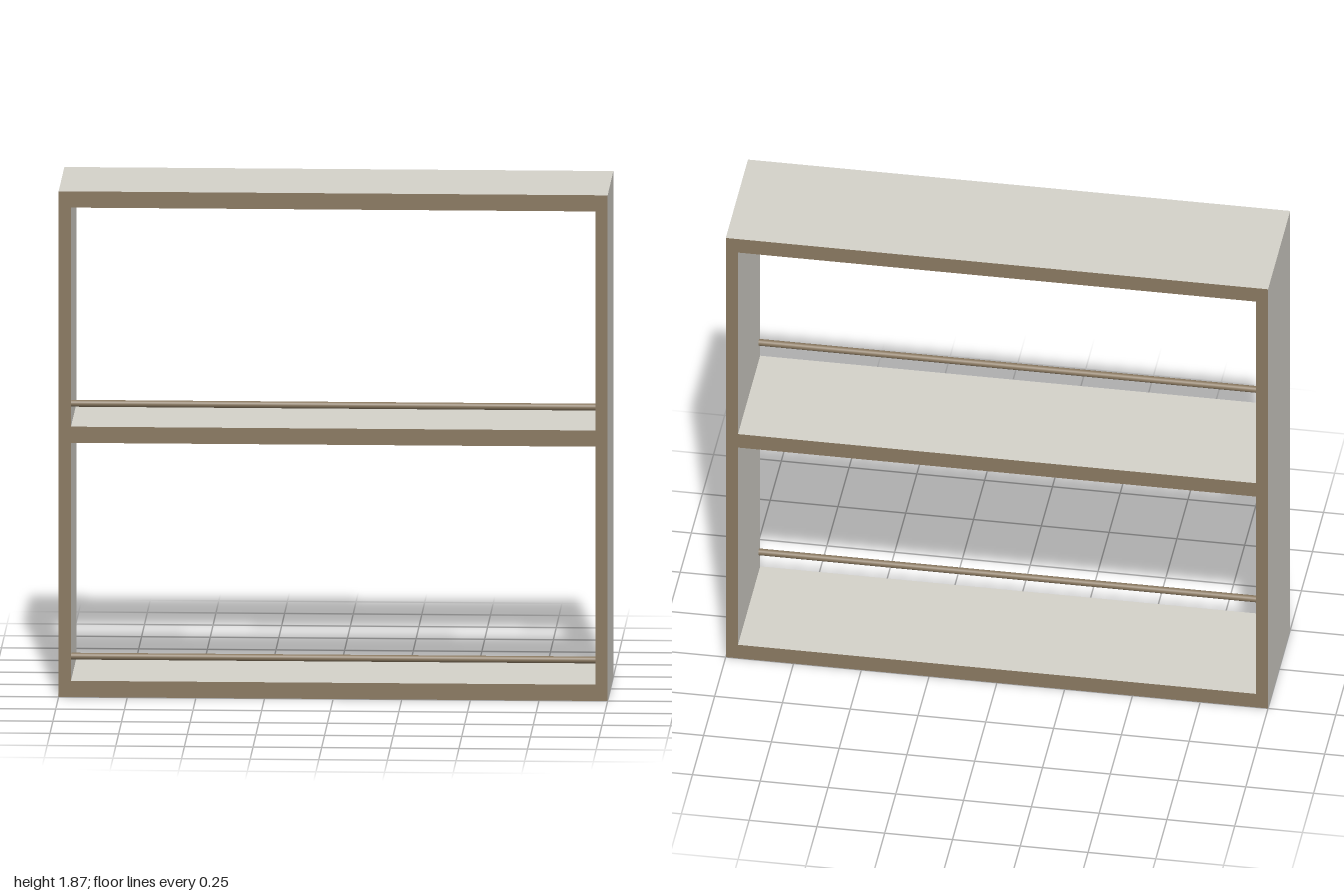
import * as THREE from 'three';

const W = 2, H = 1.87, D = 0.5; // overall size
const SIDE = 0.045;             // side panel thickness
const inner = W / 2 - SIDE;

// Rectangle outline added to a Shape or Path
function rect(path, x0, y0, x1, y1) {
  path.moveTo(x0, y0);
  path.lineTo(x1, y0);
  path.lineTo(x1, y1);
  path.lineTo(x0, y1);
  path.closePath();
  return path;
}

export function createModel() {
  const laminate = new THREE.MeshStandardMaterial({ name: 'pale grey laminate', color: 0xd2d0c8 });
  const wood = new THREE.MeshStandardMaterial({ name: 'brown wood', color: 0x88775f });

  const group = new THREE.Group();
  group.name = 'shelfUnit';

  // Carcass with two open bays: brown front and back edges, grey panel faces
  const outline = rect(new THREE.Shape(), -W / 2, 0, W / 2, H);
  for (const [bottom, top] of [[0.06, 0.94], [1.0, 1.81]]) {
    outline.holes.push(rect(new THREE.Path(), -inner, bottom, inner, top));
  }
  const carcassGeo = new THREE.ExtrudeGeometry(outline, { depth: D, bevelEnabled: false });
  carcassGeo.translate(0, 0, -D / 2);
  const carcass = new THREE.Mesh(carcassGeo, [wood, laminate]);
  carcass.name = 'carcass';
  group.add(carcass);

  // Retaining rail along the front of each bay
  const railGeo = new THREE.CylinderGeometry(0.0125, 0.0125, inner * 2, 24);
  railGeo.rotateZ(Math.PI / 2);
  [['lowerRail', 0.146], ['upperRail', 1.081]].forEach(([name, y]) => {
    const rail = new THREE.Mesh(railGeo, wood);
    rail.name = name;
    rail.position.set(0, y, 0.22);
    group.add(rail);
  });

  return group;
}
